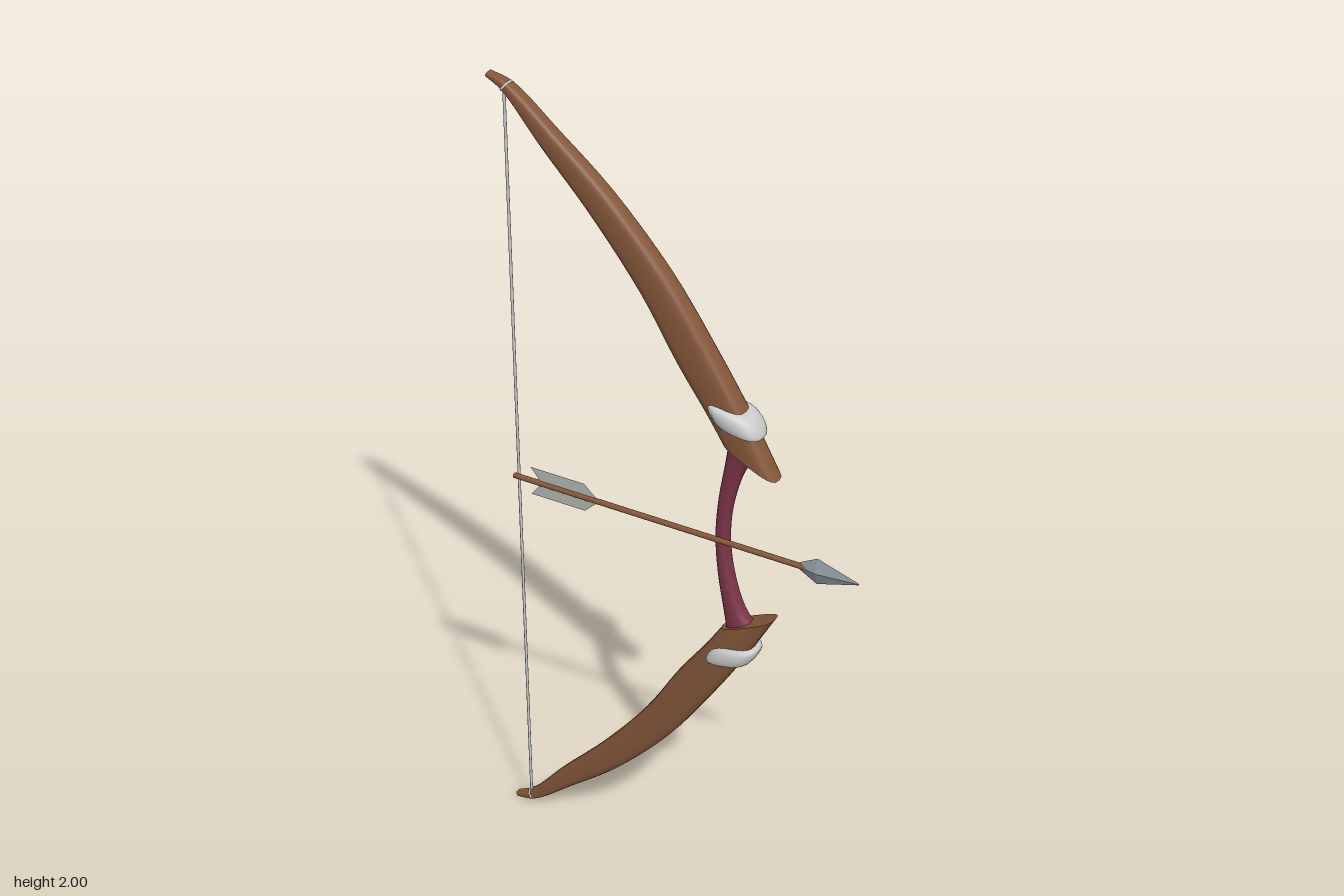
import * as THREE from 'three';

const WOOD = 0x85573a, GRIP = 0x7d3548, STEEL = 0x8d96a0, GREY = 0xcccccc;
const mat = (color, opts = {}) => new THREE.MeshStandardMaterial({ color, ...opts });

function add(parent, name, geometry, material) {
  const mesh = new THREE.Mesh(geometry, material);
  mesh.name = name;
  parent.add(mesh);
  return mesh;
}

// Skins rounded cross-sections, listed from top to bottom.
// Each station is [inner x, inner y, outer x, outer y, half depth].
function loft(stations, power, steps, sides = 20) {
  const n = stations.length;
  const inner = new THREE.CatmullRomCurve3(stations.map(s => new THREE.Vector3(s[0], s[1], s[4])));
  const outer = new THREE.CatmullRomCurve3(stations.map(s => new THREE.Vector3(s[2], s[3], s[4])));
  const pos = [], idx = [];
  const round = v => Math.sign(v) * Math.pow(Math.abs(v), power);
  const count = (n - 1) * steps;
  const ring = i => {
    const a = inner.getPoint(i / count), b = outer.getPoint(i / count);
    for (let j = 0; j < sides; j++) {
      const t = (j / sides) * Math.PI * 2, c = round(Math.cos(t)) / 2;
      pos.push(a.x * (0.5 - c) + b.x * (0.5 + c), a.y * (0.5 - c) + b.y * (0.5 + c), a.z * round(Math.sin(t)));
    }
    return [(a.x + b.x) / 2, (a.y + b.y) / 2, 0];
  };
  for (let i = 0; i <= count; i++) ring(i);
  for (let i = 0; i < count; i++) {
    for (let j = 0; j < sides; j++) {
      const k = (j + 1) % sides, p = i * sides, q = p + sides;
      idx.push(p + j, p + k, q + j, p + k, q + k, q + j);
    }
  }
  // End caps have their own vertices so their rims stay sharp
  for (const i of [0, count]) {
    const start = pos.length / 3;
    pos.push(...ring(i));
    for (let j = 0; j < sides; j++) {
      const p = start + j, q = start + (j + 1) % sides;
      if (i) idx.push(start + sides, p, q);
      else idx.push(start + sides, q, p);
    }
  }
  const g = new THREE.BufferGeometry();
  g.setAttribute('position', new THREE.Float32BufferAttribute(pos, 3));
  g.setIndex(idx);
  g.computeVertexNormals();
  return g;
}

// One half of the bow, measured up from the middle of the grip
function createHalf() {
  const half = new THREE.Group();
  add(half, 'limb', loft([
    [-0.472, 0.988, -0.466, 1.0, 0.01],
    [-0.43, 0.966, -0.413, 0.984, 0.016],
    [-0.335, 0.858, -0.3, 0.895, 0.021],
    [-0.216, 0.73, -0.168, 0.784, 0.025],
    [-0.088, 0.568, -0.02, 0.622, 0.028],
    [0.002, 0.422, 0.085, 0.471, 0.03],
    [0.077, 0.315, 0.17, 0.335, 0.031],
    [0.117, 0.252, 0.252, 0.188, 0.03],
  ], 0.62, 5), mat(WOOD));

  // Bulging binding, slanted along the limb
  const profile = [[0.033, 0.046, 0.032], [0.026, 0.056, 0.041], [0.01, 0.061, 0.045],
    [-0.01, 0.061, 0.045], [-0.026, 0.056, 0.041], [-0.033, 0.046, 0.032]];
  const stations = profile.map(([h, r, z]) => {
    const x = 0.145 - h * 0.42, y = 0.318 + h * 0.85;
    return [x - r, y + r * 0.18, x + r, y - r * 0.18, z];
  });
  add(half, 'binding', loft(stations, 0.75, 2), mat(GREY));

  // Loop holding the string at the limb tip
  const loop = add(half, 'stringLoop', new THREE.TorusGeometry(0.0155, 0.003, 8, 20), mat(GREY));
  loop.rotation.set(Math.PI / 2, 0.85, 0);
  loop.scale.x = 0.85;
  loop.position.set(-0.424, 0.975, 0);
  return half;
}

function createArrow() {
  const arrow = new THREE.Group();
  arrow.name = 'arrow';
  const shaft = add(arrow, 'shaft', new THREE.CylinderGeometry(0.007, 0.007, 0.765, 10), mat(WOOD));
  shaft.rotation.z = -Math.PI / 2;
  shaft.position.x = -0.0425;

  // Four-sided flattened head
  const profile = [[0, 0.32], [0.01, 0.322], [0.034, 0.365], [0.002, 0.467], [0, 0.468]];
  const head = new THREE.LatheGeometry(profile.map(p => new THREE.Vector2(...p)), 4);
  head.rotateZ(-Math.PI / 2);
  head.scale(1, 1, 0.36);
  add(arrow, 'arrowHead', head, mat(STEEL, { flatShading: true }));

  // Swallow-tailed feather vane
  const vane = new THREE.Shape([[-0.38, 0.037], [-0.35, 0], [-0.38, -0.037],
    [-0.235, -0.037], [-0.195, 0], [-0.235, 0.037]].map(p => new THREE.Vector2(...p)));
  add(arrow, 'fletching', new THREE.ShapeGeometry(vane), mat(0xb4b8b4, { side: THREE.DoubleSide }));
  arrow.position.z = 0.027;
  return arrow;
}

export function createModel() {
  const model = new THREE.Group();
  model.name = 'bowAndArrow';
  const bow = new THREE.Group();
  bow.name = 'bow';
  bow.position.y = 1;
  model.add(bow);

  const upper = createHalf();
  upper.name = 'upperHalf';
  const lower = createHalf();
  lower.name = 'lowerHalf';
  lower.rotation.x = Math.PI;
  bow.add(upper, lower);

  // Curved grip flaring into both limbs
  const flare = [[0.13, 0.265, 0.205, 0.235, 0.024], [0.121, 0.2, 0.17, 0.19, 0.022], [0.105, 0.1, 0.14, 0.095, 0.02]];
  const gripStations = [...flare, [0.098, 0, 0.13, 0, 0.019],
    ...flare.slice().reverse().map(([a, b, c, d, z]) => [a, -b, c, -d, z])];
  add(bow, 'grip', loft(gripStations, 0.85, 5), mat(GRIP));

  const string = add(bow, 'string', new THREE.CylinderGeometry(0.0035, 0.0035, 1.95, 8), mat(GREY));
  string.position.x = -0.43;

  bow.add(createArrow());
  return model;
}
